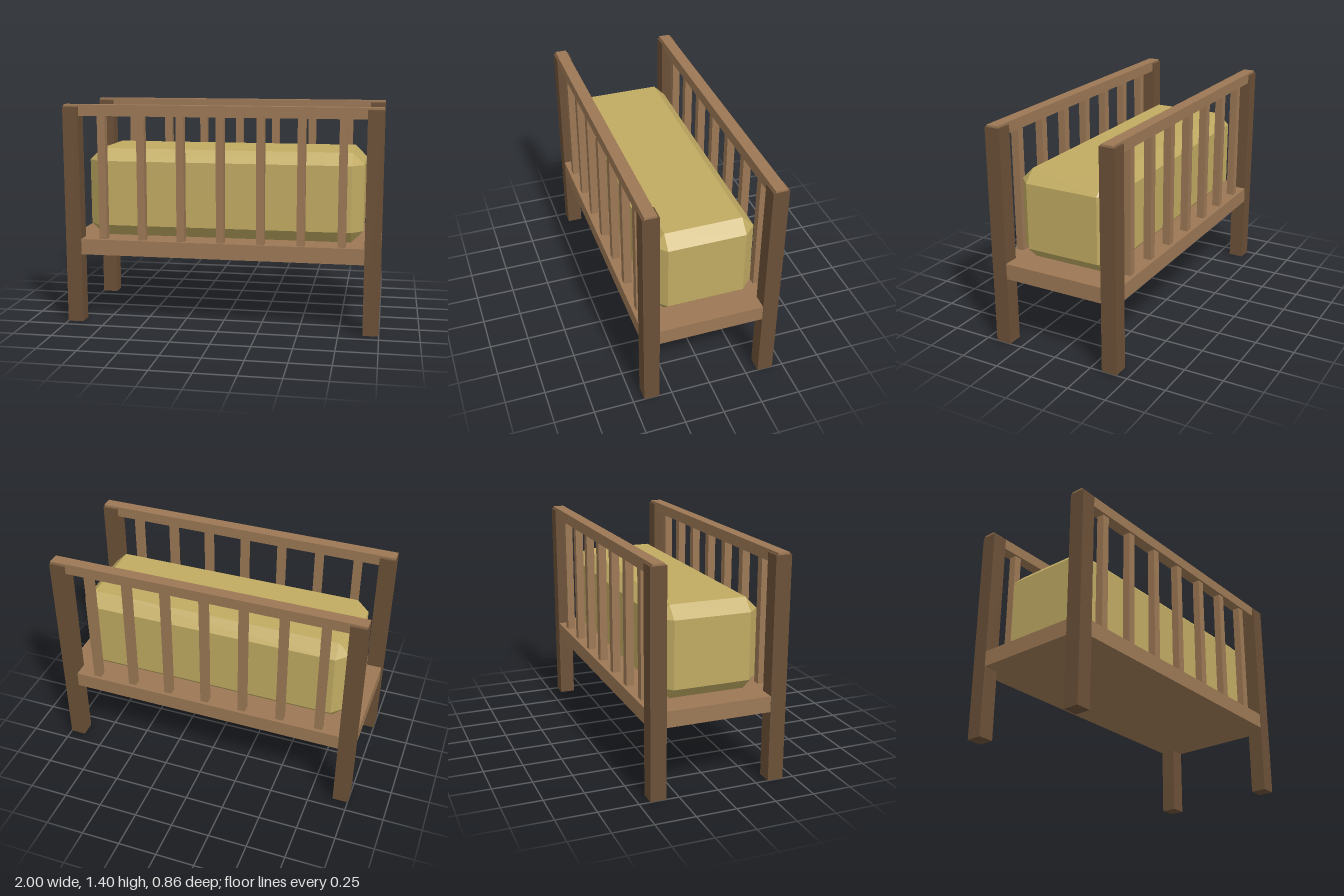
import * as THREE from 'three';
import { ConvexGeometry } from 'three/addons/geometries/ConvexGeometry.js';

const material = (name, color) => {
  const m = new THREE.MeshStandardMaterial({ color });
  m.name = name;
  return m;
};

export function createModel() {
  const darkWood = material('dark wood', 0x6b5037);
  const lightWood = material('light wood', 0x9c7855);
  const straw = material('straw', 0xc0aa62);

  const rack = new THREE.Group();
  rack.name = 'hayRack';

  const box = (name, mat, size, pos, parent = rack) => {
    const mesh = new THREE.Mesh(new THREE.BoxGeometry(...size), mat);
    mesh.name = name;
    mesh.position.set(...pos);
    parent.add(mesh);
  };

  // Floor, a hair inside the outer faces of the posts
  box('floor', lightWood, [1.998, 0.1, 0.856], [0, 0.497, 0]);

  // Each long side: two posts, a top rail and seven slats
  for (const [name, z] of [['frontSide', 0.38], ['backSide', -0.38]]) {
    const side = new THREE.Group();
    side.name = name;
    rack.add(side);
    for (const x of [-0.95, 0.95]) box('post', darkWood, [0.1, 1.392, 0.1], [x, 0.696, z], side);
    box('topRail', lightWood, [1.998, 0.07, 0.074], [0, 1.37, z], side);
    for (let i = -3; i <= 3; i++) {
      box('slat', lightWood, [0.05, 0.79, 0.05], [i * 0.253, 0.941, z], side);
    }
  }

  // Hay bale: a box with every edge and corner chamfered
  const half = [0.885, 0.284, 0.315], cut = 0.075;
  const points = [];
  for (const sx of [-1, 1]) for (const sy of [-1, 1]) for (const sz of [-1, 1]) {
    for (let axis = 0; axis < 3; axis++) {
      const [x, y, z] = half.map((h, i) => (i === axis ? h : h - cut));
      points.push(new THREE.Vector3(sx * x, sy * y, sz * z));
    }
  }
  const bale = new THREE.Mesh(new ConvexGeometry(points), straw);
  bale.name = 'hayBale';
  bale.position.y = 0.831;
  rack.add(bale);

  return rack;
}
